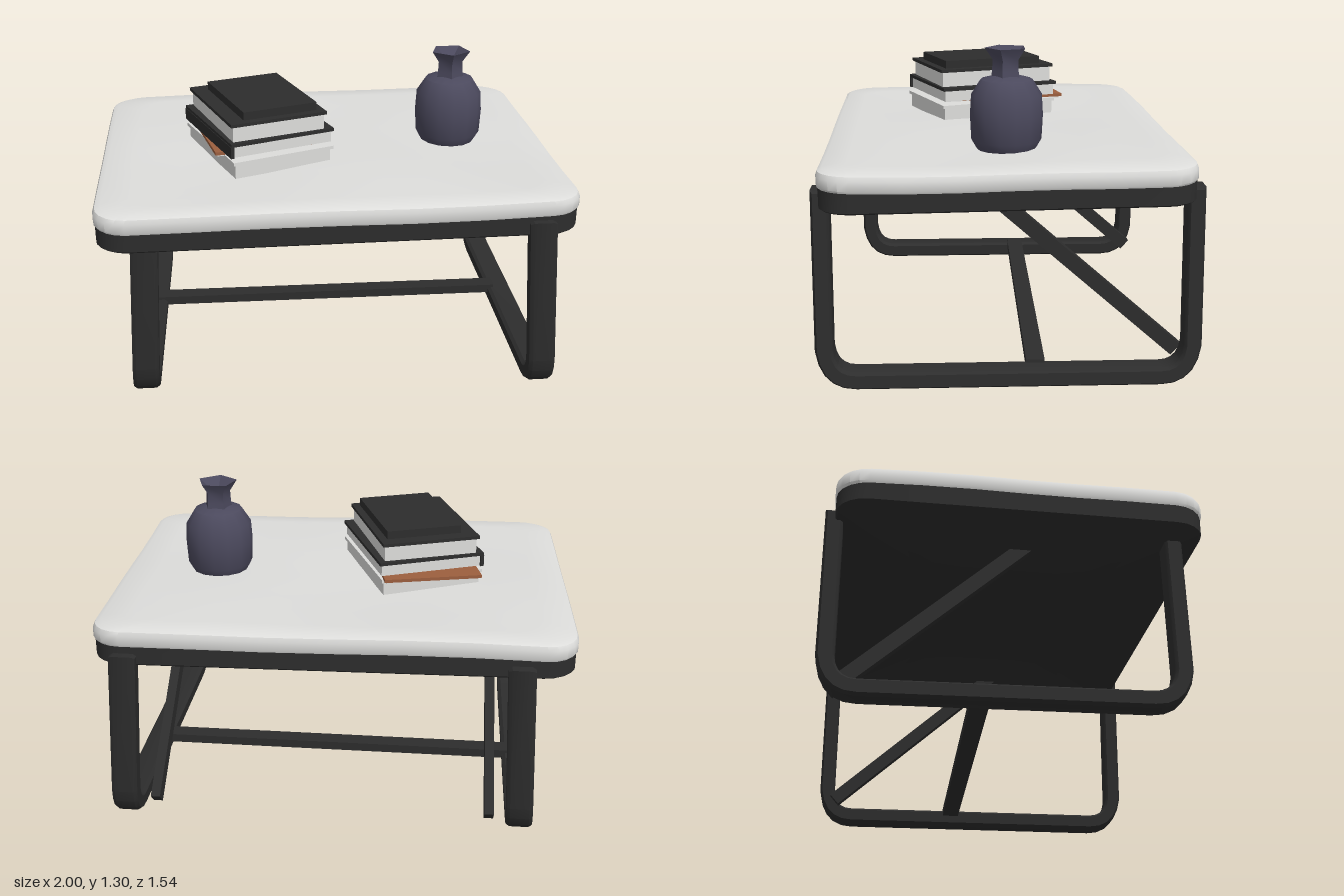
import * as THREE from 'three';
import { toCreasedNormals } from 'three/addons/utils/BufferGeometryUtils.js';

const mat = (name, color) => new THREE.MeshStandardMaterial({ name, color });

// Rounded-rectangle outline as [x, z] points, with subdivided edges
function outline(w, d, r) {
  const pts = [];
  const corners = [[1, 1], [-1, 1], [-1, -1], [1, -1]];
  corners.forEach(([sx, sz], q) => {
    const cx = sx * (w / 2 - r), cz = sz * (d / 2 - r);
    for (let k = 0; k <= 5; k++) {
      const a = (q + k / 5) * Math.PI / 2;
      pts.push([cx + r * Math.cos(a), cz + r * Math.sin(a)]);
    }
    const [ex, ez] = pts[pts.length - 1];
    const [nx, nz] = corners[(q + 1) % 4];
    const a = (q + 1) * Math.PI / 2;
    const tx = nx * (w / 2 - r) + r * Math.cos(a), tz = nz * (d / 2 - r) + r * Math.sin(a);
    for (let k = 1; k < 6; k++) pts.push([ex + (tx - ex) * k / 6, ez + (tz - ez) * k / 6]);
  });
  return pts;
}

// Closed slab lofted through scaled copies of one outline: rings of [scale, y]
function slab(pts, rings, bump) {
  const pos = [], index = [], n = pts.length;
  rings.forEach(([s, y]) => pts.forEach(([x, z]) => pos.push(x * s, y + bump(x * s, z * s), z * s)));
  for (let i = 0; i < rings.length - 1; i++) {
    for (let j = 0; j < n; j++) {
      const a = i * n + j, b = i * n + (j + 1) % n;
      index.push(a, a + n, b, b, a + n, b + n);
    }
  }
  const g = new THREE.BufferGeometry();
  g.setAttribute('position', new THREE.Float32BufferAttribute(pos, 3));
  g.setIndex(index);
  return toCreasedNormals(g, 0.7);
}

// U-shaped leg frame of flat bar, splayed outward towards the floor
function legGeometry(zBack, zFront, x, splay) {
  const t = 0.05, r = 0.15, e = 0.01, top = 0.8, bot = 0.02;
  const b = zBack + e, f = zFront - e;
  const s = new THREE.Shape();
  s.moveTo(b, top);
  s.lineTo(b, bot + r);
  s.quadraticCurveTo(b + 0.02, bot, b + r, bot);
  s.lineTo(f - r, bot);
  s.quadraticCurveTo(f - 0.02, bot, f, bot + r);
  s.lineTo(f, top);
  s.lineTo(f - t, top);
  s.lineTo(f - t, bot + r);
  s.quadraticCurveTo(f - t - 0.01, bot + t, f - r, bot + t);
  s.lineTo(b + r, bot + t);
  s.quadraticCurveTo(b + t + 0.01, bot + t, b + t, bot + r);
  s.lineTo(b + t, top);
  s.closePath();
  const g = new THREE.ExtrudeGeometry(s, {
    depth: 0.08, curveSegments: 5, bevelThickness: 0.015, bevelSize: e, bevelSegments: 1,
  });
  g.translate(0, 0, -0.04).rotateY(-Math.PI / 2);
  const p = g.attributes.position;
  for (let i = 0; i < p.count; i++) p.setX(i, p.getX(i) + x + splay * (0.8 - p.getY(i)));
  g.deleteAttribute('normal');
  return toCreasedNormals(g, 0.6);
}

export function createModel() {
  const marble = mat('marble white', 0xdddddb);
  const black = mat('charcoal black', 0x2d2d2d);
  const slate = mat('slate violet', 0x4b495d);
  const tan = mat('tan leather', 0x9c5f3e);

  const model = new THREE.Group();
  const add = (name, geometry, material, parent = model) => {
    const m = new THREE.Mesh(geometry, material);
    m.name = name;
    parent.add(m);
    return m;
  };

  // Tabletop: marble slab on a black tray, slightly out of square
  const top = new THREE.Group();
  top.name = 'tabletop';
  top.rotation.set(0.01, 0.022, 0);
  model.add(top);
  const edge = outline(1.974, 1.47, 0.13);
  const wave = (x, z) => 0.004 * Math.sin(5 * x + 3 * z) + 0.003 * Math.sin(7 * z - 4 * x);
  add('marbleTop', slab(edge, [
    [0.001, 0.825], [0.99, 0.825], [1, 0.84], [1, 0.878], [0.992, 0.895], [0.97, 0.904],
    [0.85, 0.906], [0.65, 0.906], [0.45, 0.906], [0.25, 0.906], [0.001, 0.906],
  ], wave), marble, top);
  add('underTray', slab(edge, [
    [0.001, 0.75], [0.985, 0.75], [0.994, 0.757], [0.994, 0.838], [0.001, 0.838],
  ], () => 0), black, top);

  // Leg frames
  add('leftLegFrame', legGeometry(-0.775, 0.75, 0.825, 0.06), black);
  add('rightLegFrame', legGeometry(-0.745, 0.685, -0.775, -0.045), black);

  // Straight bars between two points
  const bar = (name, a, b, w, h) => {
    const from = new THREE.Vector3(...a), to = new THREE.Vector3(...b);
    const m = add(name, new THREE.BoxGeometry(w, h, from.distanceTo(to)), black);
    m.position.copy(from).add(to).multiplyScalar(0.5);
    m.lookAt(to);
  };
  bar('lowerStretcher', [-0.8, 0.073, -0.12], [0.84, 0.073, -0.12], 0.075, 0.04);
  bar('leftBrace', [0.73, 0.77, 0.07], [0.745, 0.095, -0.7], 0.04, 0.06);
  bar('rightBrace', [-0.665, 0.77, 0.07], [-0.68, 0.095, -0.7], 0.04, 0.06);

  // Stack of books: page block, cover boards and an optional spine
  const book = (name, o) => {
    const g = new THREE.Group();
    g.name = name;
    g.position.set(o.x, o.y, o.z);
    g.rotation.y = o.turn;
    model.add(g);
    const box = (part, w, h, d, x, y, m) =>
      add(part, new THREE.BoxGeometry(w, h, d), m, g).position.set(x, y, 0);
    box('pages', o.w - 0.02, o.h - 0.012, o.d - 0.02, 0, (o.h - 0.012) / 2, marble);
    box('cover', o.w, 0.014, o.d, 0, o.h - 0.007, o.cover);
    if (o.spine) box('spine', 0.015, o.h - 0.012, o.d, -o.w / 2 + 0.005, (o.h - 0.012) / 2, o.cover);
    return g;
  };
  book('bottomBook', { x: -0.3, y: 0.9, z: 0.07, w: 0.46, h: 0.075, d: 0.56, turn: 0.38, cover: marble });
  book('tanBook', { x: -0.345, y: 0.97, z: 0.01, w: 0.42, h: 0.022, d: 0.56, turn: 0.23, cover: tan });
  book('middleBook', { x: -0.3, y: 0.992, z: 0.065, w: 0.47, h: 0.063, d: 0.56, turn: 0.37, cover: black, spine: true });
  book('upperBook', { x: -0.305, y: 1.055, z: 0.065, w: 0.43, h: 0.08, d: 0.55, turn: 0.34, cover: black });
  const lid = add('topNotebook', new THREE.BoxGeometry(0.33, 0.036, 0.46), black);
  lid.position.set(-0.285, 1.152, 0.07);
  lid.rotation.y = 0.34;

  // Vase: faceted round body with a five-sided neck and flared lip
  const vase = new THREE.Group();
  vase.name = 'vase';
  vase.position.set(0.56, 0, -0.015);
  model.add(vase);
  const lathe = (pts, sides) => {
    const g = new THREE.LatheGeometry(pts.map(([r, y]) => new THREE.Vector2(r, y)), sides);
    g.deleteAttribute('normal');
    return toCreasedNormals(g, 0.75);
  };
  add('vaseBody', lathe([
    [0, 0.9], [0.12, 0.9], [0.143, 0.94], [0.148, 1.04], [0.143, 1.125], [0.105, 1.185], [0.05, 1.2], [0, 1.2],
  ], 14), slate, vase);
  add('vaseNeck', lathe([
    [0.064, 1.18], [0.058, 1.22], [0.056, 1.265], [0.088, 1.312], [0.05, 1.285], [0, 1.24],
  ], 5), slate, vase);

  return model;
}
